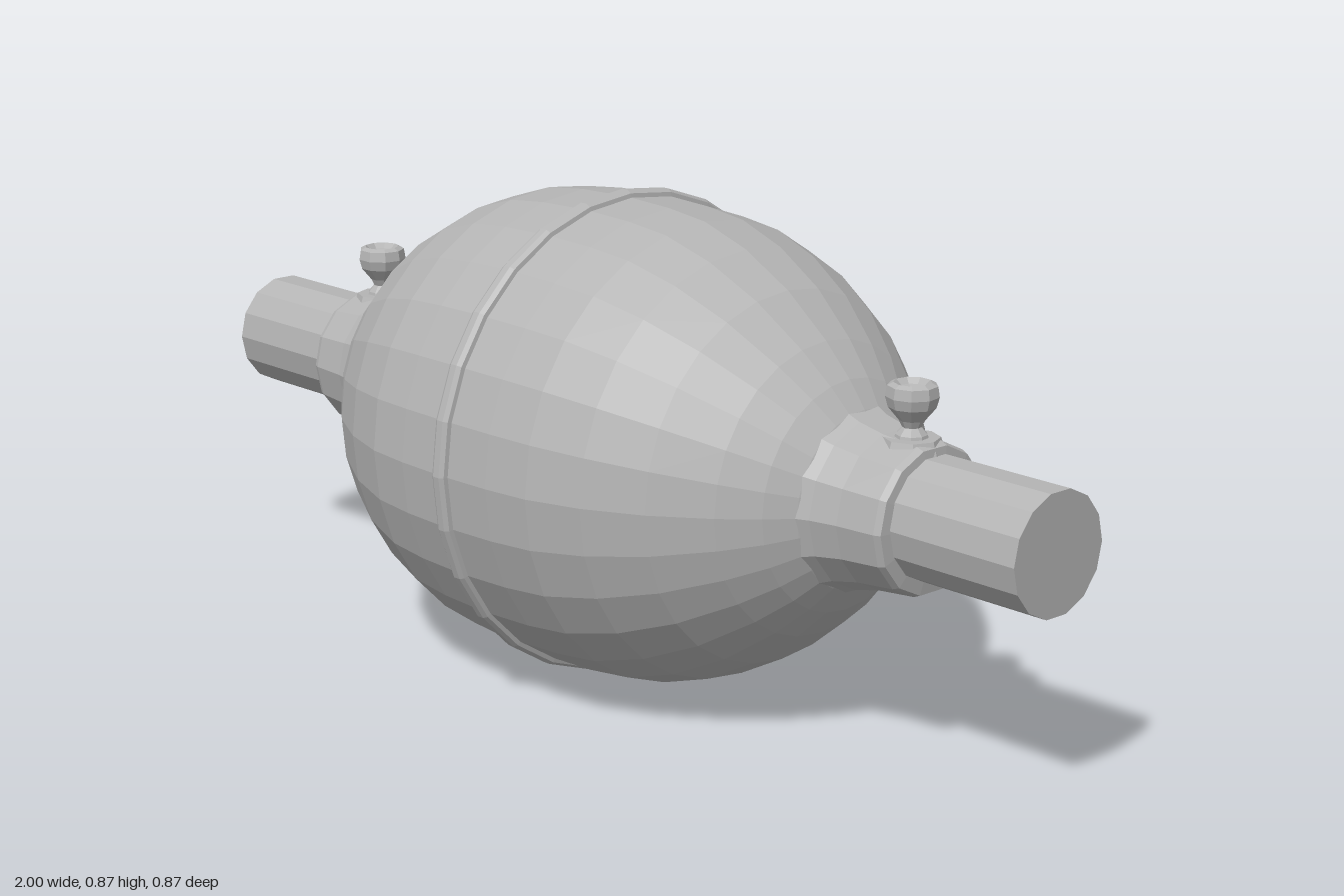
import * as THREE from 'three';

const AXIS_Y = 0.436;

export function createModel() {
  const model = new THREE.Group();
  model.name = 'inlineVessel';
  const castMetal = new THREE.MeshStandardMaterial({ color: 0xb4b4b4, flatShading: true });
  castMetal.name = 'cast metal grey';

  const add = (parent, name, geometry) => {
    const mesh = new THREE.Mesh(geometry, castMetal);
    mesh.name = name;
    parent.add(mesh);
    return mesh;
  };
  // Profile of [radius, height] pairs turned about the upright axis
  const turn = (profile, sides) =>
    new THREE.LatheGeometry(profile.map(([r, h]) => new THREE.Vector2(r, h)), sides);
  // The same, laid along the x axis
  const turnAlongX = (profile, sides) => turn(profile, sides).rotateZ(-Math.PI / 2);

  // Egg-shaped body, mirrored about its middle
  const half = [[0.424, 0], [0.42, 0.11], [0.41, 0.2], [0.378, 0.3], [0.325, 0.4],
    [0.255, 0.49], [0.2, 0.545], [0.155, 0.58], [0.12, 0.6]];
  const bodyProfile = [...half.slice(1).reverse().map(([r, h]) => [r, -h]), ...half];
  add(model, 'body', turnAlongX(bodyProfile, 28)).position.y = AXIS_Y;

  // Raised seam around the middle
  const seam = [[0.415, -0.018], [0.431, -0.015], [0.436, -0.007], [0.436, 0.007],
    [0.431, 0.015], [0.415, 0.018]];
  add(model, 'seamRing', turnAlongX(seam, 28)).position.y = AXIS_Y;

  // Each end: collar, pipe and thumb screw; the second is turned half round
  for (const side of [1, -1]) {
    const end = new THREE.Group();
    end.name = side > 0 ? 'leftEnd' : 'rightEnd';
    end.rotation.y = side > 0 ? 0 : Math.PI;
    model.add(end);

    // Collar flaring into the body, with a rounded lip
    const collar = [[0.17, 0.55], [0.148, 0.6], [0.137, 0.65], [0.13, 0.725],
      [0.125, 0.737], [0.1, 0.74]];
    add(end, 'collar', turnAlongX(collar, 14)).position.y = AXIS_Y;

    // Closed pipe stub
    const pipe = [[0, 0.7], [0.106, 0.7], [0.106, 1], [0, 1]];
    add(end, 'pipe', turnAlongX(pipe, 14)).position.y = AXIS_Y + 0.005;

    // Flat pad under the screw
    const pad = new THREE.CylinderGeometry(0.048, 0.062, 0.04, 8);
    add(end, 'screwPad', pad).position.set(0.685, 0.547, 0);

    // Thumb screw: thin neck, flared head with a dished top
    const screw = [[0.03, 0.56], [0.027, 0.572], [0.016, 0.584], [0.022, 0.596],
      [0.04, 0.618], [0.045, 0.636], [0.042, 0.654], [0.032, 0.659],
      [0.022, 0.65], [0, 0.643]];
    add(end, 'thumbScrew', turn(screw, 9)).position.x = 0.685;
  }
  return model;
}
